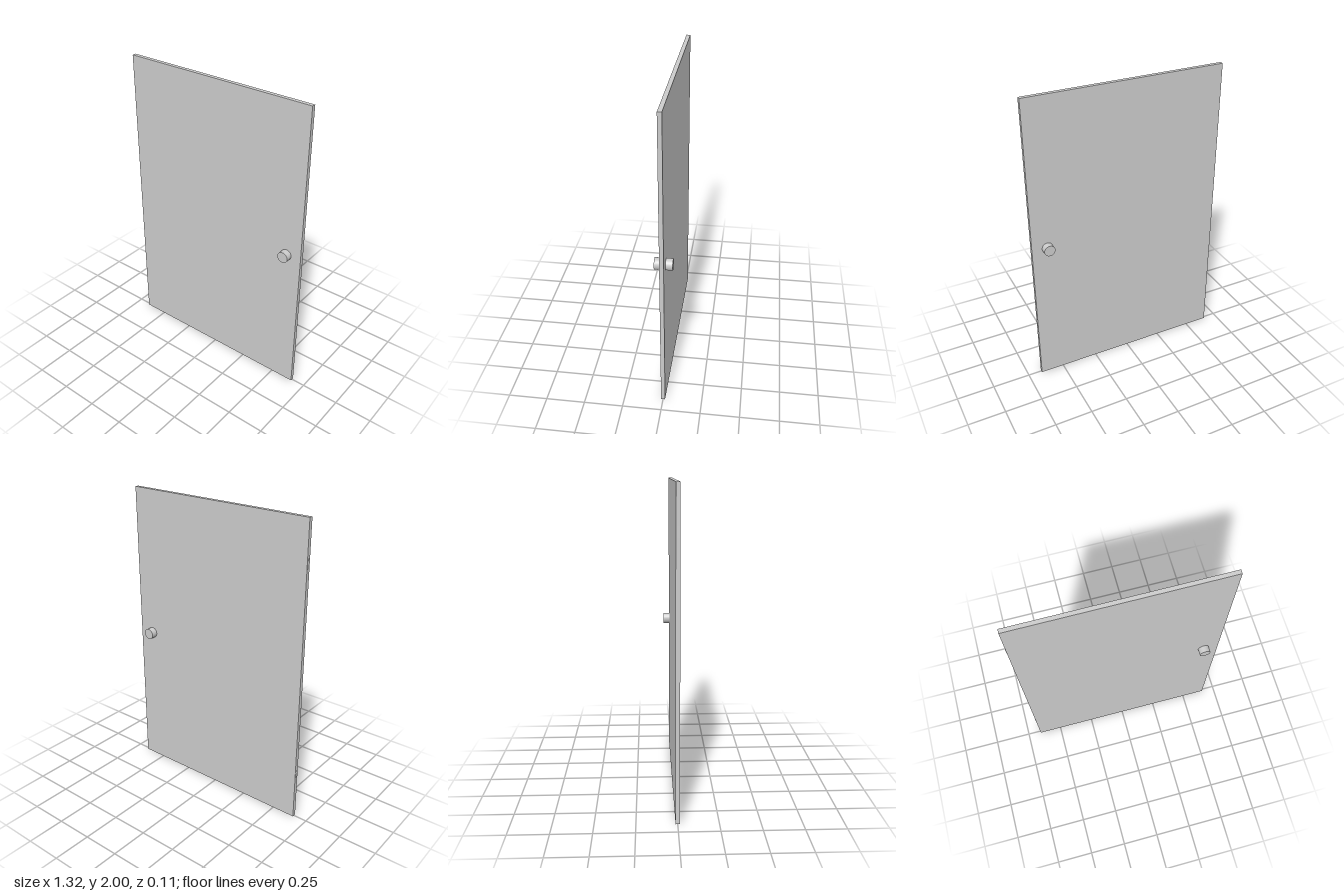
import * as THREE from 'three';

export function createModel() {
  const model = new THREE.Group();
  const material = new THREE.MeshStandardMaterial({ color: 0xcccccc });
  const add = (name, geometry, x, y, z) => {
    const mesh = new THREE.Mesh(geometry, material);
    mesh.name = name;
    mesh.position.set(x, y, z);
    model.add(mesh);
    return mesh;
  };

  // Flat door leaf
  const thickness = 0.026;
  add('doorPanel', new THREE.BoxGeometry(1.316, 2, thickness), 0, 1, 0);

  // One round knob on each face
  const reach = 0.056 - thickness / 2;
  for (const side of [1, -1]) {
    const knob = add(side > 0 ? 'frontKnob' : 'backKnob',
      new THREE.CylinderGeometry(0.036, 0.036, reach, 48),
      0.555, 1, side * (thickness + reach) / 2);
    knob.rotation.x = side * Math.PI / 2;
  }

  // Small hinge plates barely proud of the hinge edge
  for (const [name, y] of [['upperHinge', 1.735], ['lowerHinge', 0.325]]) {
    add(name, new THREE.BoxGeometry(0.006, 0.058, 0.016), -0.657, y, 0);
  }
  return model;
}
